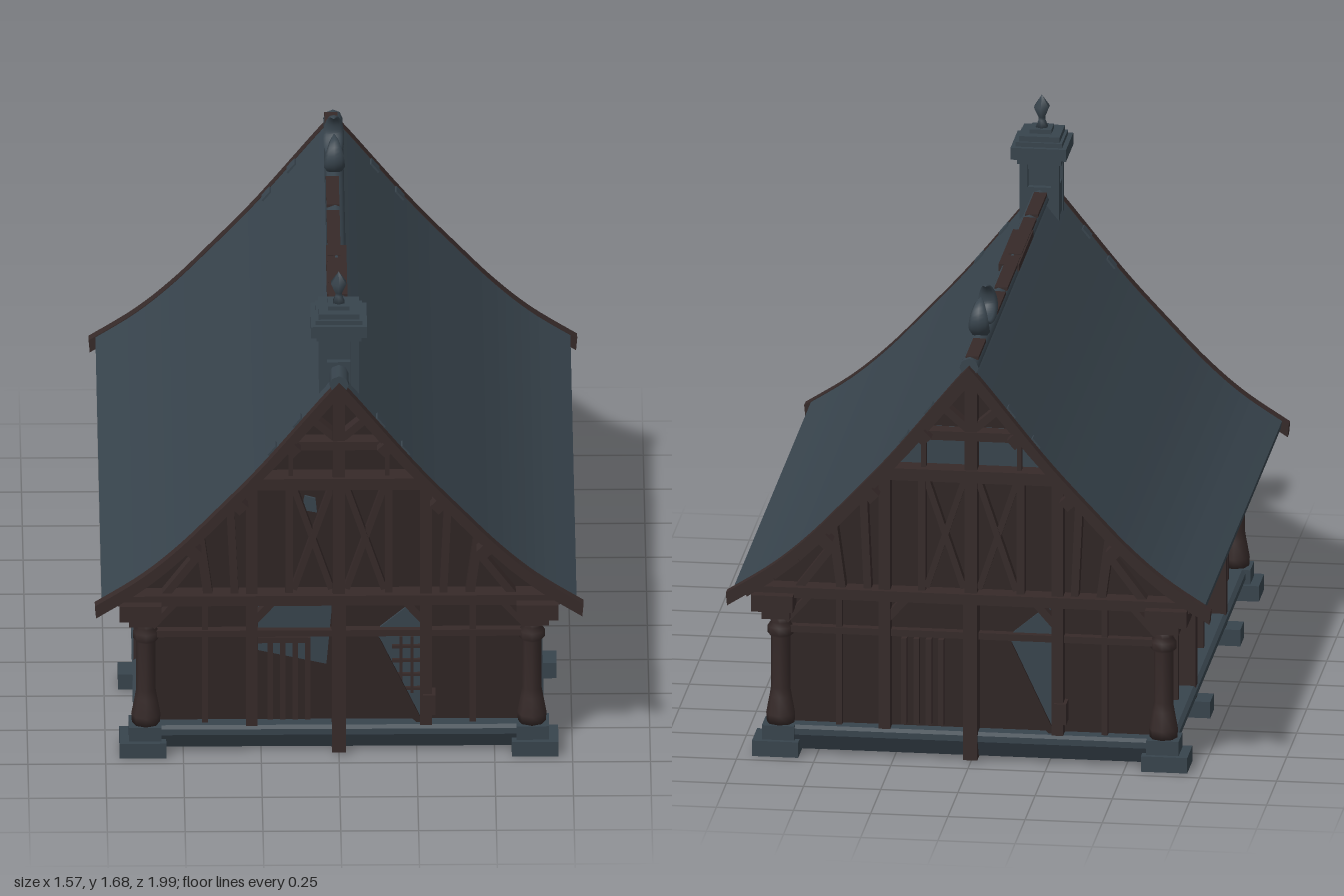
import * as THREE from 'three';

const mat = (name, color) => {
  const m = new THREE.MeshStandardMaterial({ color });
  m.name = name;
  return m;
};

// Right half of the roof line, ridge to eave
const roofPoints = new THREE.SplineCurve([
  [0, 1.35], [0.06, 1.28], [0.25, 1.045], [0.4, 0.88], [0.52, 0.755], [0.64, 0.652], [0.785, 0.557],
].map(([x, y]) => new THREE.Vector2(x, y))).getPoints(28);

function roofY(x) {
  const i = Math.max(1, roofPoints.findIndex(p => p.x >= x));
  const a = roofPoints[i - 1], b = roofPoints[i];
  return a.y + (b.y - a.y) * (x - a.x) / (b.x - a.x);
}

export function createModel() {
  const model = new THREE.Group();
  model.name = 'timberHall';
  const slate = mat('slate', 0x38444d);
  const wood = mat('timber', 0x362a29);
  const panel = mat('darkPlanks', 0x2f2524);

  const add = (parent, name, geo, m, x = 0, y = 0, z = 0) => {
    const mesh = new THREE.Mesh(geo, m);
    mesh.name = name;
    mesh.position.set(x, y, z);
    parent.add(mesh);
    return mesh;
  };
  const box = (parent, name, m, x0, x1, y0, y1, z0, z1) => add(parent, name,
    new THREE.BoxGeometry(x1 - x0, y1 - y0, z1 - z0), m, (x0 + x1) / 2, (y0 + y1) / 2, (z0 + z1) / 2);
  // Timber between two points of a wall
  const beam = (parent, name, x1, y1, x2, y2, w, z, d = 0.045) => {
    const b = add(parent, name, new THREE.BoxGeometry(w, Math.hypot(x2 - x1, y2 - y1), d), wood,
      (x1 + x2) / 2, (y1 + y2) / 2, z);
    b.rotation.z = Math.atan2(x1 - x2, y2 - y1);
  };
  const plate = (parent, name, pts, m, z, d = 0.008) => add(parent, name, new THREE.ExtrudeGeometry(
    new THREE.Shape(pts.map(p => new THREE.Vector2(p[0], p[1]))), { depth: d, bevelEnabled: false }), m, 0, 0, z);
  // Stone sill whose face slopes in towards the ground
  const sill = (parent, a, b, back, face) => {
    const s = plate(parent, 'stoneSill', [[-back, 0.015], [-back, 0.1], [-face + 0.012, 0.1], [-face, 0.09], [-face, 0.07], [-face + 0.03, 0.015]], slate, 0, b - a);
    s.rotation.y = Math.PI / 2;
    s.position.x = a;
  };

  // Band that follows the roof line on both sides
  const band = (name, line, up, down, z0, z1, m) => {
    const full = [...line.slice(1).reverse().map(p => [-p.x, p.y]), ...line.map(p => [p.x, p.y])];
    const top = full.map(([x, y]) => [x, y + up]);
    plate(model, name, [...top, ...full.reverse().map(([x, y]) => [x * 0.995, y - down])], m, z0, z1 - z0);
  };
  band('roof', roofPoints.slice(0, -1), 0, 0.025, -0.965, 0.965, slate);
  band('frontBargeBoard', roofPoints, 0.003, 0.04, 0.96, 0.995, wood);
  band('backBargeBoard', roofPoints, 0.003, 0.04, -0.995, -0.96, wood);

  // Ridge log, its worn top boards and one bare stretch
  const ridge = add(model, 'ridgeLog', new THREE.CylinderGeometry(0.031, 0.031, 1.96, 8), slate, 0, 1.345, 0.01);
  ridge.rotation.x = Math.PI / 2;
  for (const [a, b] of [[-0.95, -0.76], [-0.48, -0.27], [-0.23, 0.1], [0.12, 0.5], [0.53, 0.76]])
    box(model, 'ridgeBoard', wood, -0.028, 0.014, 1.366, 1.377, a, b);
  box(model, 'bareRidge', wood, -0.033, 0.033, 1.35, 1.374, 0.02, 0.38);

  // Cleats along the roof edges
  for (const sx of [-1, 1]) for (const sz of [-1, 1]) for (const x of [0.13, 0.21]) {
    const c = box(model, 'roofCleat', slate, sx * x - 0.02, sx * x + 0.02, roofY(x) - 0.013, roofY(x) + 0.005, sz * 0.935 - 0.02, sz * 0.935 + 0.02);
    c.rotation.z = -sx * 0.88;
  }

  // Gable walls, built facing +z
  function gable(front) {
    const g = new THREE.Group();
    g.name = front ? 'frontGable' : 'backGable';
    const half = [[0.6, 0.09], [0.6, 0.55], [0.73, 0.55], ...[0.73, 0.64, 0.52, 0.4].map(x => [x, roofY(x) - 0.02]), [0.3, 0.96]];
    plate(g, 'gablePlanks', [...half, ...half.map(([x, y]) => [-x, y]).reverse()], panel, 0.865, 0.015);
    const z = 0.9;
    // Window and broken doorway
    if (front) {
      plate(g, 'windowPane', [[-0.26, 0.35], [-0.04, 0.3], [-0.02, 0.53], [-0.26, 0.53]], slate, 0.88);
      plate(g, 'gableGap', [[-0.12, 0.85], [-0.07, 0.84], [-0.075, 0.89], [-0.11, 0.9]], slate, 0.88);
      plate(g, 'innerPlaster', [[-0.58, 0.1], [-0.1, 0.3], [0.1, 0.1], [0.55, 0.15], [0.55, 0.54], [-0.58, 0.54]], slate, 0.857);
      box(g, 'windowFrame', wood, -0.26, -0.1, 0.385, 0.405, 0.88, 0.91);
      for (const x of [0.2, 0.235]) box(g, 'latticeBar', wood, x - 0.005, x + 0.005, 0.2, 0.4, 0.888, 0.9);
      for (let i = 0; i < 4; i++) box(g, 'latticeBar', wood, 0.17, 0.27, 0.21 + i * 0.05, 0.22 + i * 0.05, 0.888, 0.9);
    }
    for (const x of [-0.22, -0.18, -0.14, -0.1]) box(g, 'windowBar', wood, x - 0.009, x + 0.009, 0.11, 0.4, 0.88, 0.905);
    plate(g, 'doorwayPane', [[0.13, 0.39], [0.26, 0.11], [0.27, 0.42], [0.25, 0.53], [0.12, 0.42]], slate, 0.88);
    plate(g, 'brokenBoard', [[0.13, 0.4], [0.1, 0.24], [0.25, 0.1], [0.27, 0.1]], panel, 0.9, 0.009);
    box(g, 'latchBlock', wood, 0.27, 0.31, 0.14, 0.21, 0.88, 0.94);
    // Horizontal timbers
    box(g, 'tieBeam', wood, -0.71, 0.71, 0.535, 0.57, 0.87, 0.945);
    box(g, 'midRail', wood, -0.6, 0.6, 0.408, 0.43, 0.88, 0.91);
    box(g, 'upperBeam', wood, -0.29, 0.29, 0.945, 0.985, 0.87, 0.94);
    box(g, 'collarBeam', wood, -0.18, 0.18, 1.085, 1.115, 0.88, 0.935);
    // Centre post
    box(g, 'kingPost', wood, -0.02, 0.02, 0.54, 1.32, 0.875, 0.93);
    box(g, 'centrePost', wood, -0.023, 0.023, 0.01, 0.56, 0.87, 0.945);
    const rafterXs = [0, 0.2, 0.4, 0.48, 0.56, 0.64, 0.73];
    for (const s of [-1, 1]) {
      box(g, 'wallPost', wood, s * 0.28 - 0.019, s * 0.28 + 0.019, 0.1, 0.96, 0.87, 0.93);
      beam(g, 'wallStud', s * 0.43, 0.1, s * 0.43, 0.54, 0.02, 0.89, 0.03);
      beam(g, 'cornerBrace', s * 0.52, 0.54, s * 0.6, 0.45, 0.02, z);
      beam(g, 'postBracket', s * 0.28, 0.46, s * 0.21, 0.54, 0.025, z);
      beam(g, 'leaningStud', s * 0.42, 0.56, s * 0.45, roofY(0.45) - 0.04, 0.03, z);
      beam(g, 'leaningStud', s * 0.335, 0.56, s * 0.35, roofY(0.35) - 0.04, 0.025, z);
      beam(g, 'lowerStrut', s * 0.56, 0.56, s * 0.44, 0.72, 0.025, z);
      beam(g, 'gableStud', s * 0.16, 0.57, s * 0.16, 0.95, 0.025, z);
      beam(g, 'crossBrace', s * 0.025, 0.58, s * 0.145, 0.94, 0.02, z, 0.03);
      beam(g, 'crossBrace', s * 0.145, 0.58, s * 0.025, 0.94, 0.02, z + 0.004, 0.03);
      beam(g, 'collarPost', s * 0.155, 0.98, s * 0.155, 1.09, 0.015, z, 0.03);
      beam(g, 'ridgeBrace', s * 0.01, 1.12, s * 0.1, 1.2, 0.025, z);
      // Rafter set inside the barge board
      for (let i = 1; i < rafterXs.length; i++) {
        const [a, b] = [rafterXs[i - 1], rafterXs[i]];
        beam(g, 'rafter', s * a, roofY(a) - 0.043, s * b, roofY(b) - 0.043, 0.03, 0.93, 0.05);
      }
      for (const x of [0.15, 0.32, 0.47]) {
        const p = box(g, 'purlinEnd', wood, s * x - 0.02, s * x + 0.02, roofY(x) - 0.085, roofY(x) - 0.045, 0.86, 0.975);
        p.rotation.z = -s * 0.8;
      }
    }
    sill(g, -0.6, 0.6, 0.83, 0.935);
    g.rotation.y = front ? 0 : Math.PI;
    model.add(g);
  }
  gable(true);
  gable(false);

  // Long walls, built facing +z and turned outward
  function sideWall(s) {
    const g = new THREE.Group();
    g.name = s > 0 ? 'leftWall' : 'rightWall';
    box(g, 'wallPlanks', panel, -0.88, 0.88, 0.09, 0.57, 0.58, 0.595);
    box(g, 'wallPlate', wood, -0.93, 0.93, 0.535, 0.57, 0.58, 0.665);
    for (const [a, b] of [[-0.88, -0.34], [0.41, 0.88]]) {
      box(g, 'midRail', wood, a, b, 0.408, 0.428, 0.59, 0.62);
      for (const t of [0.2, 0.45, 0.7]) {
        const x = a + (b - a) * t;
        box(g, 'wallStud', wood, x - 0.011, x + 0.011, 0.1, 0.54, 0.59, 0.618);
      }
    }
    for (const x of [-0.34, 0.41]) {
      box(g, 'wallPost', wood, x - 0.022, x + 0.022, 0.01, 0.55, 0.59, 0.655);
      box(g, 'postFoot', slate, x - 0.045, x + 0.045, 0, 0.055, 0.56, 0.705);
      for (const d of [-1, 1]) beam(g, 'postBracket', x + d * 0.02, 0.43, x + d * 0.09, 0.53, 0.025, 0.625);
    }
    // Rafter feet under the eaves
    for (let i = 0; i < 11; i++) {
      const x = -0.85 + i * 0.17;
      box(g, 'rafterFoot', wood, x - 0.018, x + 0.018, 0.535, 0.57, 0.6, 0.71);
    }
    const sills = s > 0 ? [[-0.88, -0.25], [0.35, 0.88]] : [[-0.88, 0.88]];
    for (const [a, b] of sills) sill(g, a, b, 0.53, 0.66);
    if (s > 0) {
      // Double door with strap hinges and a row of small windows above
      plate(g, 'doorLeaf', [[-0.23, 0.03], [0.04, 0.015], [0.04, 0.41], [-0.22, 0.38]], wood, 0.6, 0.025);
      plate(g, 'doorLeaf', [[0.05, 0.015], [0.33, 0.03], [0.32, 0.4], [0.05, 0.42]], wood, 0.6, 0.025);
      box(g, 'doorThreshold', wood, -0.32, 0.39, 0.005, 0.025, 0.56, 0.64);
      beam(g, 'doorLintel', -0.33, 0.43, 0.4, 0.415, 0.025, 0.625);
      for (const [x, d] of [[-0.22, 1], [0.32, -1]]) for (const y of [0.12, 0.305]) {
        const c = x + d * 0.07;
        box(g, 'strapHinge', panel, c - 0.07, c + 0.07, y - 0.01, y + 0.01, 0.625, 0.637);
        for (const o of [-0.05, 0.03]) box(g, 'hingePin', panel, c + o, c + o + 0.015, y - 0.07, y + 0.015, 0.625, 0.642);
      }
      for (const x of [0.02, 0.07]) box(g, 'doorHandle', panel, x - 0.008, x + 0.008, 0.19, 0.25, 0.625, 0.645);
      for (const x of [-0.18, -0.02, 0.12, 0.25]) {
        plate(g, 'topWindow', [[x - 0.04, 0.435], [x + 0.05, 0.435], [x + 0.05, 0.535], [x - 0.04, 0.535]], slate, 0.595);
        box(g, 'windowStud', wood, x + 0.05, x + 0.08, 0.42, 0.54, 0.595, 0.63);
      }
    } else {
      // Broken wall section
      plate(g, 'bareWall', [[-0.3, 0.3], [-0.1, 0.14], [0.2, 0.1], [0.3, 0.28], [0.28, 0.53], [-0.1, 0.53]], slate, 0.595);
      plate(g, 'looseBoard', [[-0.3, 0.1], [-0.05, 0.1], [-0.24, 0.42], [-0.3, 0.42]], panel, 0.61);
      beam(g, 'wallStud', 0.04, 0.1, 0.04, 0.54, 0.025, 0.615, 0.03);
      box(g, 'midRail', wood, -0.34, 0.05, 0.408, 0.428, 0.59, 0.62);
      plate(g, 'innerPlaster', [[-0.85, 0.1], [0, 0.1], [0.08, 0.33], [0.4, 0.4], [0.85, 0.36], [0.85, 0.53], [-0.85, 0.53]], slate, 0.571);
    }
    g.rotation.y = s * Math.PI / 2;
    model.add(g);
  }
  sideWall(1);
  sideWall(-1);

  // Corner posts on stone blocks, with stepped caps reaching outward
  const postGeo = new THREE.LatheGeometry([[0, 0.1], [0.045, 0.1], [0.047, 0.13], [0.036, 0.19], [0.031, 0.22], [0.031, 0.39],
    [0.042, 0.4], [0.042, 0.425], [0.032, 0.44], [0.04, 0.48], [0, 0.5]].map(p => new THREE.Vector2(...p)), 8);
  for (const sx of [-1, 1]) for (const sz of [-1, 1]) {
    const c = new THREE.Group();
    c.name = 'corner';
    add(c, 'cornerPost', postGeo, wood);
    // Block measured from the post: reach inward and outward
    const block = (name, m, inner, outX, outZ, y0, y1) => add(c, name,
      new THREE.BoxGeometry(inner + outX, y1 - y0, inner + outZ), m,
      sx * (outX - inner) / 2, (y0 + y1) / 2, sz * (outZ - inner) / 2);
    block('cornerStone', slate, 0.065, 0.085, 0.065, 0, 0.052);
    block('cornerStoneCap', slate, 0.05, 0.055, 0.048, 0.052, 0.1);
    block('lowerCap', wood, 0.035, 0.055, 0.05, 0.46, 0.495);
    block('upperCap', wood, 0.05, 0.085, 0.085, 0.495, 0.55);
    c.position.set(sx * 0.62, 0, sz * 0.895);
    model.add(c);
  }

  // Ridge turret with niches
  const turret = new THREE.Group();
  turret.name = 'turret';
  box(turret, 'turretCore', slate, -0.04, 0.04, 1.26, 1.48, -0.04, 0.04);
  for (const x of [-0.051, 0.051]) for (const z of [-0.051, 0.051])
    box(turret, 'turretPost', slate, x - 0.013, x + 0.013, 1.27, 1.48, z - 0.013, z + 0.013);
  [[0.06, 1.27, 1.385], [0.058, 1.445, 1.47], [0.072, 1.465, 1.485], [0.09, 1.485, 1.525], [0.075, 1.525, 1.54], [0.066, 1.54, 1.558], [0.035, 1.558, 1.572]]
    .forEach(([r, a, b]) => box(turret, 'turretCornice', slate, -r, r, a, b, -r, r));
  add(turret, 'finial', new THREE.LatheGeometry([[0, 1.57], [0.022, 1.572], [0.012, 1.595], [0.012, 1.605], [0.028, 1.64], [0, 1.68]]
    .map(p => new THREE.Vector2(...p)), 6), slate);
  turret.position.z = 0.845;
  model.add(turret);

  // Pair of crescent horns on the ridge, thick in the middle
  const hornPath = new THREE.CatmullRomCurve3([[1.385, 0.01], [1.369, 0.04], [1.378, 0.08], [1.41, 0.111], [1.45, 0.109], [1.478, 0.086], [1.487, 0.055]]
    .map(([y, z]) => new THREE.Vector3(0, y, z)));
  for (const turn of [0, Math.PI]) {
    const geo = new THREE.TubeGeometry(hornPath, 20, 0.017, 8);
    const pos = geo.attributes.position, v = new THREE.Vector3();
    for (let i = 0; i < pos.count; i++) {
      const t = Math.floor(i / 9) / 20;
      const c = hornPath.getPointAt(t);
      v.fromBufferAttribute(pos, i).sub(c).multiplyScalar(0.05 + Math.sin(Math.PI * (0.08 + 0.92 * t))).add(c);
      pos.setXYZ(i, v.x * 1.9, v.y, v.z);
    }
    geo.computeVertexNormals();
    add(model, 'horn', geo, slate, 0, 0, -0.617).rotation.y = turn;
  }
  return model;
}
